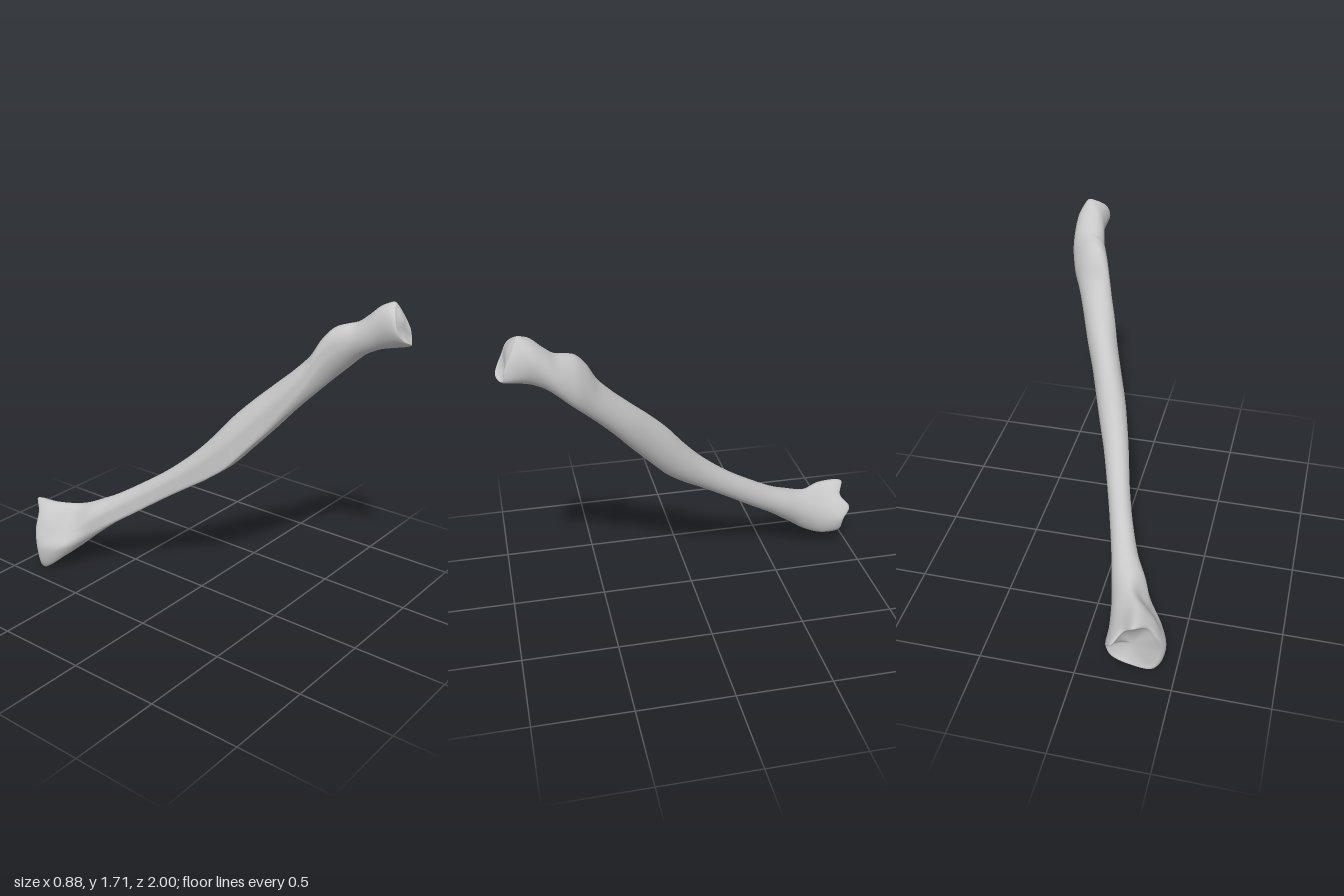
import * as THREE from 'three';
import { mergeVertices } from 'three/addons/utils/BufferGeometryUtils.js';

const AROUND = 50; // points around each cross-section
const STEPS = 6;   // rings between two key sections

// Smooth closed ring through hand-placed points
function outline(points) {
  const curve = new THREE.CatmullRomCurve3(points.map(p => new THREE.Vector3(...p)), true);
  return Array.from({ length: AROUND }, (_, j) => curve.getPoint(j / AROUND));
}

// Skewed ellipse at depth z, filling the given x and y ranges;
// "crest" pushes it out towards the lower right-hand corner of the bone
function oval([z, x0, x1, y0, y1, skew, crest]) {
  return Array.from({ length: AROUND }, (_, j) => {
    const t = j / AROUND * Math.PI * 2;
    const push = 1 + crest * Math.max(0, Math.cos(t - Math.PI * 1.25)) ** 4;
    const u = Math.max(-1, push * Math.cos(t));
    const v = Math.max(-1, push * Math.sin(t + skew));
    return new THREE.Vector3((x0 + x1) / 2 + (x1 - x0) / 2 * u, (y0 + y1) / 2 + (y1 - y0) / 2 * v, z);
  });
}

// Rings from a rim inwards to a centre point, forming a shallow bowl
function bowl(rim, centre) {
  return [0.18, 0.45, 0.75, 1].map(k => rim.map(p => {
    const q = p.clone().lerp(centre, k);
    q.z = THREE.MathUtils.lerp(p.z, centre.z, 1 - (1 - k) ** 2);
    return q;
  }));
}

// Skin through the key rings, ordered from -z to +z; both ends close to a point
function loft(rings) {
  const n = (rings.length - 1) * STEPS;
  const pos = [], index = [];
  const columns = rings[0].map((_, j) => new THREE.CatmullRomCurve3(rings.map(r => r[j])));
  for (let i = 0; i <= n; i++) {
    for (const c of columns) pos.push(...c.getPoint(i / n).toArray());
  }
  for (let i = 0; i < n; i++) {
    for (let j = 0; j < AROUND; j++) {
      const k = (j + 1) % AROUND;
      const a = i * AROUND + j, b = i * AROUND + k, c = b + AROUND, d = a + AROUND;
      if (i > 0) index.push(a, b, c);
      if (i < n - 1) index.push(a, c, d);
    }
  }
  const g = new THREE.BufferGeometry();
  g.setAttribute('position', new THREE.Float32BufferAttribute(pos, 3));
  g.setIndex(index);
  const merged = mergeVertices(g, 1e-5);
  merged.computeVertexNormals();
  return merged;
}

export function createModel() {
  const group = new THREE.Group();
  group.name = 'longBone';
  const bone = new THREE.MeshStandardMaterial({ color: 0xc8c8c8 });
  bone.name = 'bone grey';

  // Wide lower end: lobed rim around a hollow joint face
  const lowRim = outline([
    [-0.155, 0.20, -0.955], [-0.19, 0.255, -1.0], [-0.24, 0.315, -0.955], [-0.30, 0.375, -0.98],
    [-0.36, 0.33, -0.915], [-0.41, 0.24, -0.895], [-0.43, 0.13, -0.87], [-0.385, 0.01, -0.885],
    [-0.28, 0.06, -0.93], [-0.18, 0.12, -0.945]]);
  const lowCentre = new THREE.Vector3(-0.28, 0.19, -0.905);
  const flare = outline([
    [-0.145, 0.20], [-0.165, 0.28], [-0.215, 0.335], [-0.29, 0.385], [-0.37, 0.32],
    [-0.41, 0.24], [-0.44, 0.14], [-0.40, 0.01], [-0.28, 0.075], [-0.175, 0.11],
  ].map(p => [...p, -0.84]));
  const neck = outline([
    [-0.13, 0.25], [-0.14, 0.32], [-0.18, 0.37], [-0.235, 0.385], [-0.295, 0.315],
    [-0.35, 0.235], [-0.39, 0.165], [-0.355, 0.11], [-0.26, 0.12], [-0.17, 0.16],
  ].map(p => [...p, -0.72]));

  // Shaft sections: z, x range, y range, skew, crest
  const shaft = [
    [-0.60, -0.285, -0.10, 0.225, 0.43, 0.2, 0.15],
    [-0.50, -0.22, -0.075, 0.31, 0.48, 0.15, 0.25],
    [-0.35, -0.155, -0.03, 0.415, 0.575, 0.12, 0.28],
    [-0.20, -0.105, 0.02, 0.52, 0.68, 0.12, 0.28],
    [-0.05, -0.065, 0.075, 0.62, 0.81, 0.15, 0.28],
    [0.05, -0.035, 0.12, 0.685, 0.92, 0.2, 0.28],
    [0.15, 0.0, 0.165, 0.765, 1.045, 0.25, 0.28],
    [0.25, 0.045, 0.21, 0.875, 1.15, 0.25, 0.25],
    [0.35, 0.09, 0.26, 0.99, 1.245, 0.2, 0.22],
    [0.45, 0.13, 0.305, 1.11, 1.34, 0.1, 0.18],
    [0.52, 0.163, 0.338, 1.19, 1.42, 0, 0.14],
    [0.57, 0.187, 0.365, 1.245, 1.51, -0.1, 0.1],
    [0.62, 0.21, 0.395, 1.30, 1.565, -0.2, 0.08],
    [0.67, 0.23, 0.415, 1.35, 1.585, -0.2, 0.05],
    [0.72, 0.25, 0.43, 1.40, 1.60, -0.1, 0],
    [0.77, 0.265, 0.435, 1.44, 1.64, 0, 0],
    [0.84, 0.28, 0.435, 1.475, 1.70, 0, 0]].map(oval);

  // Upper end: slanted rim around a shallow joint face
  const headRim = outline([
    [0.425, 1.58, 0.955], [0.41, 1.66, 0.915], [0.38, 1.715, 0.885], [0.335, 1.70, 0.905],
    [0.29, 1.66, 0.935], [0.278, 1.60, 0.96], [0.30, 1.555, 0.985], [0.345, 1.53, 0.998],
    [0.39, 1.515, 0.985], [0.425, 1.525, 0.965]]);
  const headCentre = new THREE.Vector3(0.355, 1.605, 0.95);

  const mesh = new THREE.Mesh(loft([
    ...bowl(lowRim, lowCentre).reverse(), lowRim, flare, neck,
    ...shaft, headRim, ...bowl(headRim, headCentre)]), bone);
  mesh.name = 'boneShaftAndEnds';
  group.add(mesh);
  return group;
}
